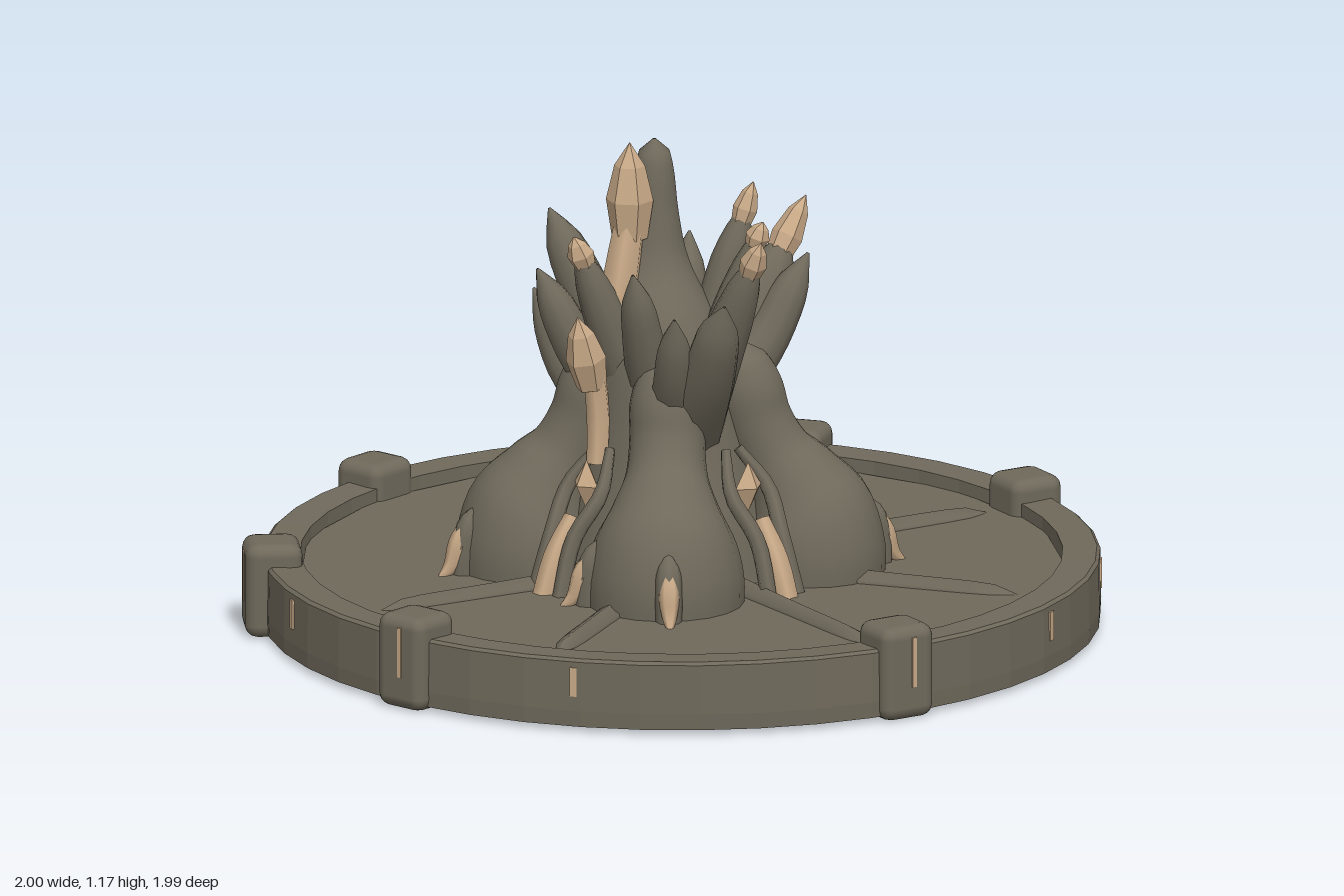
import * as THREE from 'three';
import { mergeVertices } from 'three/addons/utils/BufferGeometryUtils.js';
import { RoundedBoxGeometry } from 'three/addons/geometries/RoundedBoxGeometry.js';

const stone = new THREE.MeshStandardMaterial({ color: 0x6f695b, side: THREE.DoubleSide });
stone.name = 'stone';
const amber = new THREE.MeshStandardMaterial({ color: 0xc8a987 });
amber.name = 'pale crystal';
const V = (x, y, z) => new THREE.Vector3(x, y, z);

function add(parent, name, geometry, material) {
  const m = new THREE.Mesh(geometry, material);
  m.name = name;
  parent.add(m);
  return m;
}

// Tube with a varying radius; each point is [x, y, z, radius]
function loft(points, sides = 14, steps = 18) {
  const path = new THREE.CatmullRomCurve3(points.map(p => V(p[0], p[1], p[2])));
  const radii = new THREE.CatmullRomCurve3(points.map((p, i) => V(p[3], i, 0)));
  const g = new THREE.TubeGeometry(path, steps, 1, sides, false);
  const pos = g.attributes.position, v = V(0, 0, 0);
  for (let i = 0; i <= steps; i++) {
    const c = path.getPointAt(i / steps);
    const r = Math.max(0.002, radii.getPoint(path.getUtoTmapping(i / steps)).x);
    for (let j = 0; j <= sides; j++) {
      const k = i * (sides + 1) + j;
      v.fromBufferAttribute(pos, k).sub(c).multiplyScalar(r).add(c);
      pos.setXYZ(k, v.x, v.y, v.z);
    }
  }
  g.deleteAttribute('uv');
  g.deleteAttribute('normal');
  const merged = mergeVertices(g);
  merged.computeVertexNormals();
  return merged;
}

// Pointed six-sided shard between two positions
function shard(parent, name, from, to, r) {
  const d = to.clone().sub(from), len = d.length();
  const profile = [[0.001, 0], [r * 0.75, 0.08], [r, 0.45], [r * 0.65, 0.78], [0.001, 1]];
  const g = new THREE.LatheGeometry(profile.map(p => new THREE.Vector2(p[0], p[1] * len)), 6).toNonIndexed();
  g.computeVertexNormals();
  const m = add(parent, name, g, amber);
  m.position.copy(from);
  m.quaternion.setFromUnitVectors(V(0, 1, 0), d.normalize());
}

function createBase() {
  const base = new THREE.Group();
  base.name = 'base';
  base.position.set(0.015, 0, -0.02);

  // Outer ring, open underneath
  const p = [[0.978, 0.012], [0.98, 0.05], [0.978, 0.168], [0.97, 0.175], [0.89, 0.172], [0.89, 0.012]];
  const ring = new THREE.LatheGeometry(p.map(a => new THREE.Vector2(...a)), 44).toNonIndexed();
  ring.computeVertexNormals();
  add(base, 'ring', ring, stone);

  // Short veins on the ring's outer face
  for (const angle of [-0.52, 0.41, 1.75, 2.24]) {
    const vein = add(base, 'ringVein', new THREE.BoxGeometry(0.016, 0.07, 0.008), amber);
    vein.position.set(Math.sin(angle) * 0.977, 0.12, Math.cos(angle) * 0.977);
    vein.rotation.y = angle;
  }

  // Faceted floor slab
  const floor = add(base, 'floor', new THREE.CylinderGeometry(0.902, 0.902, 0.035, 15), stone);
  floor.position.y = 0.123;
  floor.rotation.y = 0.1;

  // Angular skirt under the floor
  const corners = [[0.62, -0.56], [0.04, -0.83], [-0.71, -0.6], [-0.36, 0.75], [0.47, 0.74], [0.8, 0.34]];
  corners.forEach(([x, z], i) => {
    const [x2, z2] = corners[(i + 1) % corners.length];
    const wall = add(base, 'floorSkirt', new THREE.BoxGeometry(Math.hypot(x2 - x, z2 - z), 0.085, 0.008), stone);
    wall.position.set((x + x2) / 2, 0.073, (z + z2) / 2);
    wall.rotation.y = -Math.atan2(z2 - z, x2 - x);
  });

  // Clamps around the ring
  for (const [x, z] of [[-0.35, -0.88], [0.325, -0.88], [0.885, 0.31], [-0.045, 0.94], [-0.695, 0.66], [-0.945, -0.04]]) {
    const clamp = new THREE.Group();
    clamp.name = 'clamp';
    clamp.position.set(x, 0, z);
    clamp.rotation.y = Math.atan2(x, z);
    add(clamp, 'clampBlock', new RoundedBoxGeometry(0.14, 0.225, 0.135, 2, 0.03), stone).position.y = 0.1125;
    add(clamp, 'clampVein', new THREE.BoxGeometry(0.012, 0.12, 0.006), amber).position.set(0.008, 0.14, 0.067);
    base.add(clamp);
  }

  // Low roots radiating over the floor
  for (const [x, z] of [[-0.27, -0.78], [0.28, -0.79], [0.78, -0.28], [0.78, 0.27], [0.25, 0.78], [-0.3, 0.75], [-0.76, -0.25]]) {
    const root = loft([[x * 0.2, 0.132, z * 0.2, 0.04], [x * 0.6, 0.132, z * 0.6, 0.034], [x * 0.92, 0.132, z * 0.92, 0.03], [x, 0.135, z, 0.006]], 6, 12);
    add(base, 'root', root, stone);
  }
  return base;
}

function createBody() {
  const body = new THREE.Group();
  body.name = 'body';

  // Central trunk and spire
  add(body, 'trunk', loft([[-0.01, 0.115, 0, 0.27], [-0.01, 0.3, 0, 0.23], [-0.01, 0.5, 0.01, 0.18], [-0.03, 0.7, 0.01, 0.15],
    [-0.05, 0.86, 0, 0.085], [-0.05, 0.98, 0, 0.058], [-0.05, 1.08, 0, 0.047], [-0.05, 1.14, 0, 0.034], [-0.05, 1.165, 0, 0.003]], 20, 36), stone);

  // Domed bulbs with slim necks leaning into the trunk
  for (const [x, z, r] of [[-0.17, -0.25, 0.2], [0.275, -0.18, 0.172], [-0.26, 0.2, 0.175], [0.18, 0.25, 0.185]]) {
    add(body, 'bulb', loft([[x, 0.115, z, r], [x, 0.2, z, r], [x * 0.97, 0.28, z * 0.97, r * 0.9], [x * 0.87, 0.35, z * 0.87, r * 0.69],
      [x * 0.73, 0.42, z * 0.73, r * 0.52], [x * 0.61, 0.5, z * 0.61, r * 0.48], [x * 0.54, 0.58, z * 0.54, r * 0.48],
      [x * 0.49, 0.65, z * 0.49, r * 0.34], [x * 0.47, 0.69, z * 0.47, 0.003]], 20, 30), stone);
  }

  // Hooded thorns on the bulbs: bulb x, z, radius, then heading
  for (const [x, z, r, angle] of [[-0.17, -0.25, 0.2, 3.14], [0.275, -0.18, 0.172, 2.62], [-0.26, 0.2, 0.175, -0.45], [0.18, 0.25, 0.185, -0.72], [0.18, 0.25, 0.185, 0.72]]) {
    const thorn = new THREE.Group();
    thorn.name = 'thorn';
    thorn.position.set(x, 0, z);
    thorn.rotation.y = angle;
    add(thorn, 'thornCore', loft([[0, 0.13, r + 0.065, 0.005], [0, 0.16, r + 0.032, 0.018], [0, 0.22, r + 0.009, 0.024], [0, 0.28, r - 0.016, 0.005]], 6, 10), amber);
    add(thorn, 'thornHood', loft([[0, 0.12, r, 0.03], [0, 0.2, r - 0.005, 0.032], [0, 0.26, r - 0.018, 0.028], [0, 0.3, r - 0.04, 0.004]], 8, 10), stone);
    body.add(thorn);
  }

  // Seams between the bulbs, each with a framed diamond
  for (const [x, z] of [[-0.07, 0.32], [0.34, 0.04], [0.1, -0.32], [-0.34, -0.05]]) {
    const seam = new THREE.Group();
    seam.name = 'seam';
    seam.rotation.y = Math.atan2(x, z);
    add(seam, 'seamCore', loft([[0, 0.12, 0.385, 0.03], [0, 0.22, 0.345, 0.032], [0, 0.31, 0.295, 0.022]], 6, 8), amber);
    const diamond = add(seam, 'seamDiamond', new THREE.OctahedronGeometry(1), amber);
    diamond.position.set(0, 0.38, 0.255);
    diamond.scale.set(0.042, 0.06, 0.03);
    for (const s of [-1, 1]) {
      add(seam, 'seamFrame', loft([[s * 0.046, 0.12, 0.375, 0.02], [s * 0.04, 0.27, 0.325, 0.02], [s * 0.06, 0.37, 0.26, 0.018], [s * 0.02, 0.46, 0.2, 0.012]], 6, 12), stone);
    }
    body.add(seam);
  }

  // Strip rising from the front seam
  add(body, 'frontStrip', loft([[-0.06, 0.42, 0.2, 0.028], [-0.065, 0.52, 0.19, 0.03], [-0.07, 0.64, 0.2, 0.028]], 6, 6), amber);
  return body;
}

function createCrown() {
  const crown = new THREE.Group();
  crown.name = 'crown';

  // Horns: tip x, y, z, thickness, crystal length (0 for bare stone)
  const horns = [
    [-0.45, 0.85, -0.13, 0.055, 0.18], [-0.41, 0.74, 0.0, 0.055, 0], [-0.3, 0.97, 0.08, 0.06, 0],
    [-0.18, 1.03, -0.16, 0.045, 0.14], [0.11, 1.05, -0.17, 0.045, 0.12], [0.1, 0.97, -0.38, 0.058, 0.19],
    [0.3, 0.98, 0.04, 0.05, 0.11], [0.31, 0.86, 0.19, 0.065, 0], [0.21, 0.99, -0.08, 0.045, 0.07],
    [0.17, 0.86, -0.3, 0.055, 0], [-0.1, 0.97, 0.24, 0.05, 0.09], [0.06, 0.9, 0.22, 0.05, 0],
    [-0.24, 0.86, 0.2, 0.055, 0], [-0.12, 0.88, -0.22, 0.055, 0], [0.2, 0.82, 0.24, 0.05, 0],
  ];
  for (const [x, y, z, r, tipLength] of horns) {
    const mid = V(x * 0.7, y - 0.19, z * 0.7), tip = V(x, y, z);
    const dir = tip.clone().sub(mid).normalize();
    const end = tip.clone().addScaledVector(dir, -tipLength * 0.65);
    const near = end.clone().lerp(mid, 0.4);
    add(crown, 'horn', loft([[x * 0.2, 0.46, z * 0.2, r * 1.4], [mid.x, mid.y, mid.z, r], [near.x, near.y, near.z, r * 0.75],
      [...end.toArray(), tipLength ? r * 0.38 : 0.003]], 10, 14), stone);
    if (tipLength) shard(crown, 'hornCrystal', tip.clone().addScaledVector(dir, -tipLength), tip, r * 0.65);
  }

  // Large crystal standing before the spire, and the smaller one beneath it
  shard(crown, 'mainCrystal', V(-0.06, 0.92, 0.08), V(-0.06, 1.17, 0.08), 0.056);
  add(crown, 'mainCrystalStem', loft([[-0.06, 0.74, 0.14, 0.045], [-0.06, 0.86, 0.11, 0.045], [-0.06, 0.98, 0.08, 0.038]], 6, 6), amber);
  shard(crown, 'frontCrystal', V(-0.075, 0.59, 0.2), V(-0.08, 0.78, 0.25), 0.048);
  return crown;
}

export function createModel() {
  const model = new THREE.Group();
  model.name = 'crystalShrine';
  model.add(createBase(), createBody(), createCrown());
  return model;
}
